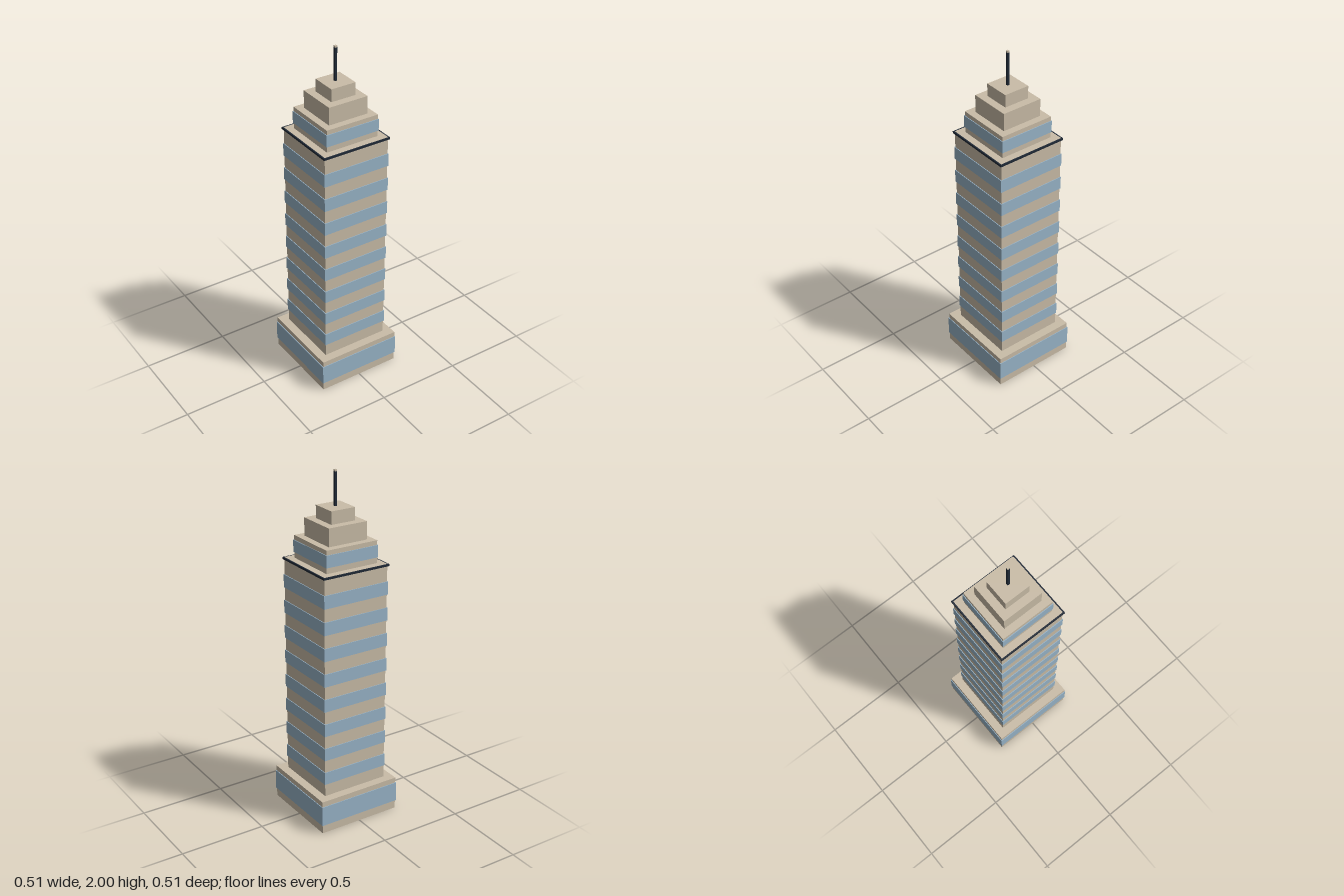
import * as THREE from 'three';

export function createModel() {
  const stone = new THREE.MeshStandardMaterial({ name: 'stone', color: 0xcabda8 });
  const glass = new THREE.MeshStandardMaterial({ name: 'glass', color: 0x99b5c9 });
  const dark = new THREE.MeshStandardMaterial({ name: 'darkMetal', color: 0x1f2936 });

  const tower = new THREE.Group();
  tower.name = 'skyscraper';

  // Square block centred on the axis, from height y0 to y1
  const block = (name, half, y0, y1, material) => {
    const mesh = new THREE.Mesh(new THREE.BoxGeometry(half * 2, y1 - y0, half * 2), material);
    mesh.name = name;
    mesh.position.y = (y0 + y1) / 2;
    tower.add(mesh);
  };

  // Podium
  block('podium', 0.25, 0, 0.2, stone);
  block('podiumWindows', 0.254, 0.05, 0.168, glass);

  // Main shaft with evenly spaced window bands
  block('shaft', 0.2, 0.2, 1.5, stone);
  for (let i = 0; i < 8; i++) {
    const y = 0.275 + i * 0.15;
    block(`windowBand${i + 1}`, 0.204, y, y + 0.075, glass);
  }
  // Cornice sits a hair below the roof so the roof stays stone
  block('cornice', 0.208, 1.488, 1.4992, dark);

  // Stepped crown
  block('crownLower', 0.16, 1.5, 1.628, stone);
  block('crownWindows', 0.164, 1.533, 1.602, glass);
  block('crownMiddle', 0.12, 1.628, 1.73, stone);
  block('crownUpper', 0.075, 1.73, 1.803, stone);

  // Mast with a pale tip
  block('mast', 0.0065, 1.803, 1.99, dark);
  block('mastTip', 0.0065, 1.99, 2, stone);

  return tower;
}
